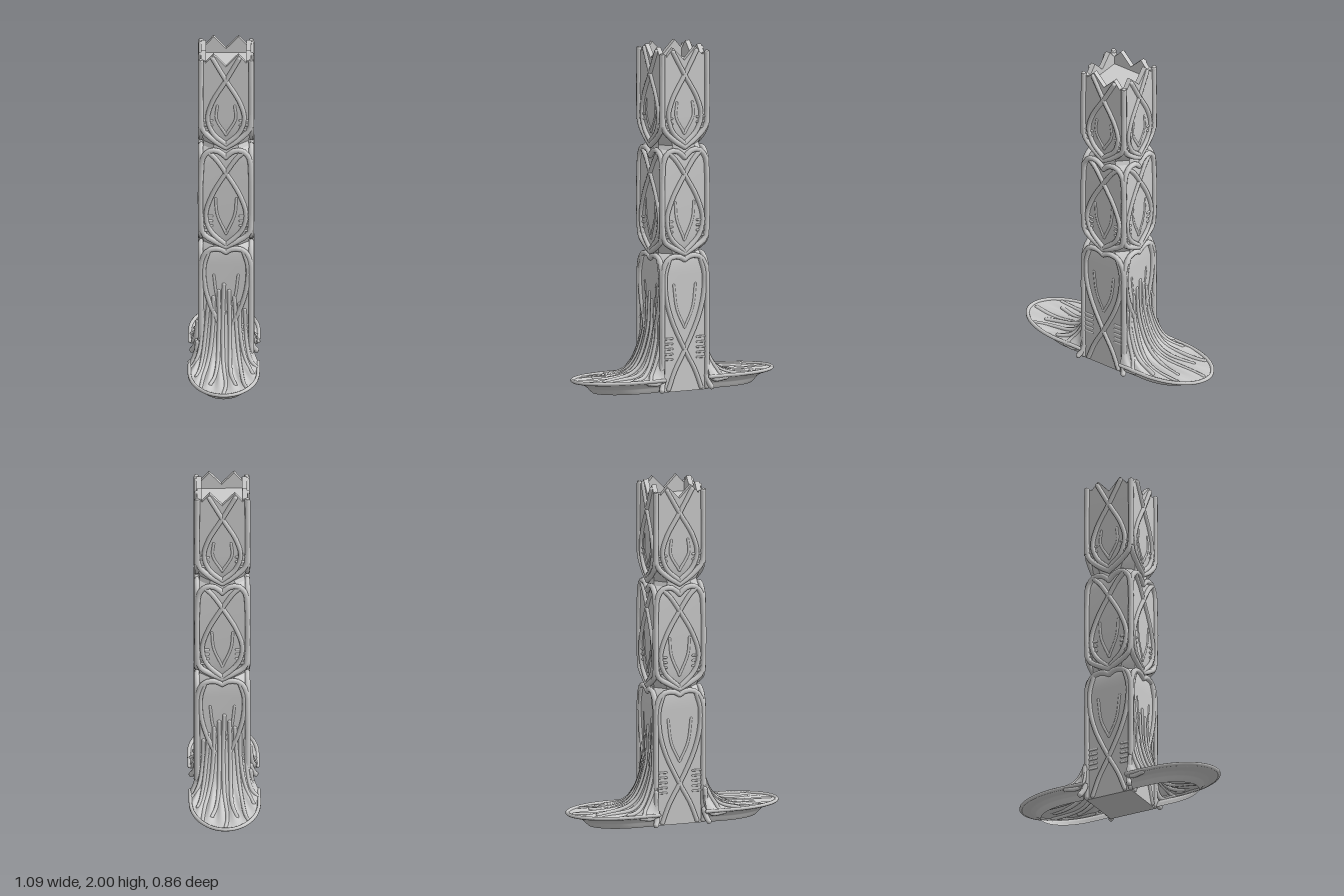
import * as THREE from 'three';
import { toCreasedNormals } from 'three/addons/utils/BufferGeometryUtils.js';
import { ParametricGeometry } from 'three/addons/geometries/ParametricGeometry.js';

const mat = new THREE.MeshStandardMaterial({ color: 0xcccccc });
const matDouble = new THREE.MeshStandardMaterial({ color: 0xcccccc, side: THREE.DoubleSide });
const V = (x, y, z) => new THREE.Vector3(x, y, z);

function add(parent, name, geometry, material = mat) {
  const mesh = new THREE.Mesh(geometry, material);
  mesh.name = name;
  parent.add(mesh);
  return mesh;
}

// Smooth round rib through points, with rounded ends
function rib(parent, name, points, r, segments = 28) {
  const group = new THREE.Group();
  group.name = name;
  add(group, name + 'Bar', new THREE.TubeGeometry(new THREE.CatmullRomCurve3(points, false, 'centripetal'), segments, r, 7));
  for (const p of [points[0], points[points.length - 1]]) {
    add(group, name + 'End', new THREE.SphereGeometry(r, 7, 5)).position.copy(p);
  }
  parent.add(group);
}

// Chamfered square column from rings of [height, half width, chamfer]
function columnGeometry(rings) {
  const pos = [], index = [];
  for (const [y, h, c] of rings) {
    const k = h - c;
    for (const [x, z] of [[h, -k], [h, k], [k, h], [-k, h], [-h, k], [-h, -k], [-k, -h], [k, -h]]) pos.push(x, y, z);
  }
  for (let r = 0; r < rings.length - 1; r++) {
    for (let i = 0; i < 8; i++) {
      const a = r * 8 + i, b = r * 8 + (i + 1) % 8;
      index.push(a, a + 8, b, b, a + 8, b + 8);
    }
  }
  const top = (rings.length - 1) * 8;
  for (let i = 1; i < 7; i++) {
    index.push(0, i, i + 1);
    index.push(top, top + i + 1, top + i);
  }
  const g = new THREE.BufferGeometry();
  g.setAttribute('position', new THREE.Float32BufferAttribute(pos, 3));
  g.setIndex(index);
  return toCreasedNormals(g, 0.5);
}

// Half patterns on a face as [sideways, height], mirrored to both sides
const FRAMES = [
  [[0, 0.765], [0.04, 0.785], [0.1, 0.775], [0.135, 0.72], [0.143, 0.6], [0.143, 0.3], [0.143, 0.016]],
  [[0, 1.36], [0.04, 1.395], [0.09, 1.4], [0.13, 1.36], [0.143, 1.25], [0.143, 0.97], [0.13, 0.88], [0.07, 0.835], [0, 0.8]],
  [[0.143, 1.96], [0.143, 1.6], [0.132, 1.53], [0.07, 1.465], [0, 1.42]],
];
const CROSSES = [
  [[0.1, 0.77], [0.125, 0.68], [0.12, 0.55], [0.085, 0.42], [0, 0.24], [-0.065, 0.12], [-0.105, 0.016]],
  [[-0.1, 1.39], [-0.06, 1.35], [0, 1.26], [0.08, 1.12], [0.115, 1.0], [0.09, 0.9], [0, 0.81]],
  [[-0.075, 1.975], [0, 1.84], [0.08, 1.7], [0.105, 1.6], [0.075, 1.51], [0, 1.44]],
];
const INNER = [
  [[0.07, 0.62], [0.05, 0.48], [0, 0.37]],
  [[0.06, 1.1], [0.05, 1.0], [0, 0.88]],
  [[0.05, 1.68], [0.055, 1.6], [0, 1.5]],
];
const SLATS = [[0.19, 0.22, 0.25, 0.28, 0.31], [0.9, 0.93, 0.96, 0.99], [1.53, 1.56, 1.59]];

function createFace() {
  const face = new THREE.Group();
  face.name = 'towerFace';
  for (let tier = 0; tier < 3; tier++) {
    for (const side of [-1, 1]) {
      const path = (pts, z) => pts.map(([s, y]) => V(side * s, y, z));
      rib(face, 'tierFrame', path(FRAMES[tier], 0.145), 0.016);
      rib(face, 'crossRib', path(CROSSES[tier], 0.146), 0.014);
      rib(face, 'innerRidge', path(INNER[tier], 0.14), 0.009, 12);
      for (const y of SLATS[tier]) {
        const slat = add(face, 'slat', new THREE.CapsuleGeometry(0.007, 0.05, 3, 6));
        slat.rotation.z = Math.PI / 2;
        slat.position.set(side * 0.105, y, 0.144);
      }
    }
  }
  // Zigzag crown wall
  const shape = new THREE.Shape([
    [-0.142, 1.9], [0.142, 1.9], [0.142, 1.96], [0.115, 1.95], [0.072, 2], [0, 1.925], [-0.072, 2], [-0.115, 1.95], [-0.142, 1.96],
  ].map(([x, y]) => new THREE.Vector2(x, y)));
  add(face, 'crownWall', new THREE.ExtrudeGeometry(shape, { depth: 0.028, bevelEnabled: false })).position.z = 0.116;
  return face;
}

function createTower() {
  const tower = new THREE.Group();
  tower.name = 'tower';
  add(tower, 'towerCore', columnGeometry([
    [0, 0.146, 0.012], [0.68, 0.144, 0.012], [0.75, 0.142, 0.03], [0.785, 0.135, 0.055], [0.8, 0.128, 0.06],
    [0.83, 0.137, 0.055], [0.9, 0.143, 0.025], [0.96, 0.144, 0.012], [1.32, 0.144, 0.012], [1.38, 0.14, 0.03],
    [1.405, 0.132, 0.055], [1.43, 0.128, 0.06], [1.47, 0.138, 0.05], [1.54, 0.143, 0.02], [1.6, 0.144, 0.012], [1.9, 0.144, 0.012],
  ]));
  for (let i = 0; i < 4; i++) {
    const face = createFace();
    face.rotation.y = i * Math.PI / 2;
    // Slim corner post rising beside the crown
    add(face, 'cornerPost', new THREE.CylinderGeometry(0.014, 0.016, 0.42, 8)).position.set(0.145, 1.76, 0.145);
    tower.add(face);
  }
  return tower;
}

// Rim of the wing foot: half ellipse, straight where it meets the tower
function rimPoint(t, k = 1) {
  const a = (t * 2 - 1) * THREE.MathUtils.degToRad(118);
  const b = THREE.MathUtils.clamp(a, -Math.PI / 2, Math.PI / 2);
  return [0.2 + (0.1 + 0.335 * Math.cos(a)) * k, 0.2 * Math.sin(b) * k];
}

// Upper wing surface: steep at the tower, flattening out to the rim
function wingPoint(t, f, target) {
  const [ru, rv] = rimPoint(t);
  const w = t * 2 - 1;
  const u = THREE.MathUtils.lerp(0.14, ru, f), v = THREE.MathUtils.lerp(0.155 * w, rv, f);
  const d = Math.hypot(u - 0.14, v - 0.155 * w);
  const flare = 0.34 * Math.exp(-d / 0.065) * (1 - f) * (1 - 0.6 * w * w);
  const ripple = 0.007 * Math.cos(t * Math.PI * 18 + f * 2) * Math.sin(Math.PI * f);
  return target.set(u, 0.076 + flare + ripple, v);
}

const SKIRT = [[1, 0.072], [0.96, 0.064], [0.86, 0.054], [0.78, 0.035], [0.74, 0.016], [0.7, 0]];

function createWing() {
  const wing = new THREE.Group();
  wing.name = 'wingFoot';
  add(wing, 'wingTop', new ParametricGeometry((f, t, p) => wingPoint(t, f, p), 28, 72), matDouble);
  add(wing, 'wingSkirt', new ParametricGeometry((s, t, p) => {
    const i = Math.min(Math.floor(s * 5), 4), m = s * 5 - i;
    const k = THREE.MathUtils.lerp(SKIRT[i][0], SKIRT[i + 1][0], m);
    const [u, v] = rimPoint(t, k);
    p.set(u, THREE.MathUtils.lerp(SKIRT[i][1], SKIRT[i + 1][1], m), v);
  }, 15, 48), matDouble);
  const rim = [];
  for (let i = 0; i <= 28; i++) {
    const [u, v] = rimPoint(i / 28, 0.985);
    rim.push(V(u, 0.077, v));
  }
  rib(wing, 'wingRim', rim, 0.011, 64);
  // Roots running down the tower and fanning out over the wing
  for (let i = 0; i < 9; i++) {
    const t = 0.1 + 0.1 * i, w = t * 2 - 1;
    const reach = i % 2 ? 0.72 : 0.92;
    const pts = [V(0.142, 0.56 - 0.2 * Math.abs(w), 0.15 * w)];
    for (let j = 0; j <= 8; j++) {
      const f = 0.03 + (reach - 0.03) * j / 8;
      const p = wingPoint(t + 0.02 * Math.sin(f * 5 + i * 2), f, V(0, 0, 0));
      p.y += 0.002 - 0.006 * f;
      pts.push(p);
    }
    rib(wing, 'root', pts, 0.012);
  }
  // Corner buttresses tying the skirt to the tower base
  for (const s of [-1, 1]) {
    rib(wing, 'cornerButtress', [V(0.148, 0.2, s * 0.152), V(0.155, 0.1, s * 0.165), V(0.18, 0.06, s * 0.185), V(0.25, 0.066, s * 0.192)], 0.014, 16);
    rib(wing, 'baseFlare', [V(0.14, 0.08, s * 0.155), V(0.15, 0.04, s * 0.17), V(0.16, 0.016, s * 0.185)], 0.016, 10);
  }
  return wing;
}

export function createModel() {
  const model = new THREE.Group();
  model.name = 'latticeTower';
  const body = new THREE.Group();
  body.name = 'body';
  body.rotation.y = THREE.MathUtils.degToRad(35);
  const tower = createTower();
  tower.position.z = 0.012;
  body.add(tower);
  for (let i = 0; i < 2; i++) {
    const wing = createWing();
    wing.rotation.y = i * Math.PI;
    body.add(wing);
  }
  model.add(body);
  return model;
}
